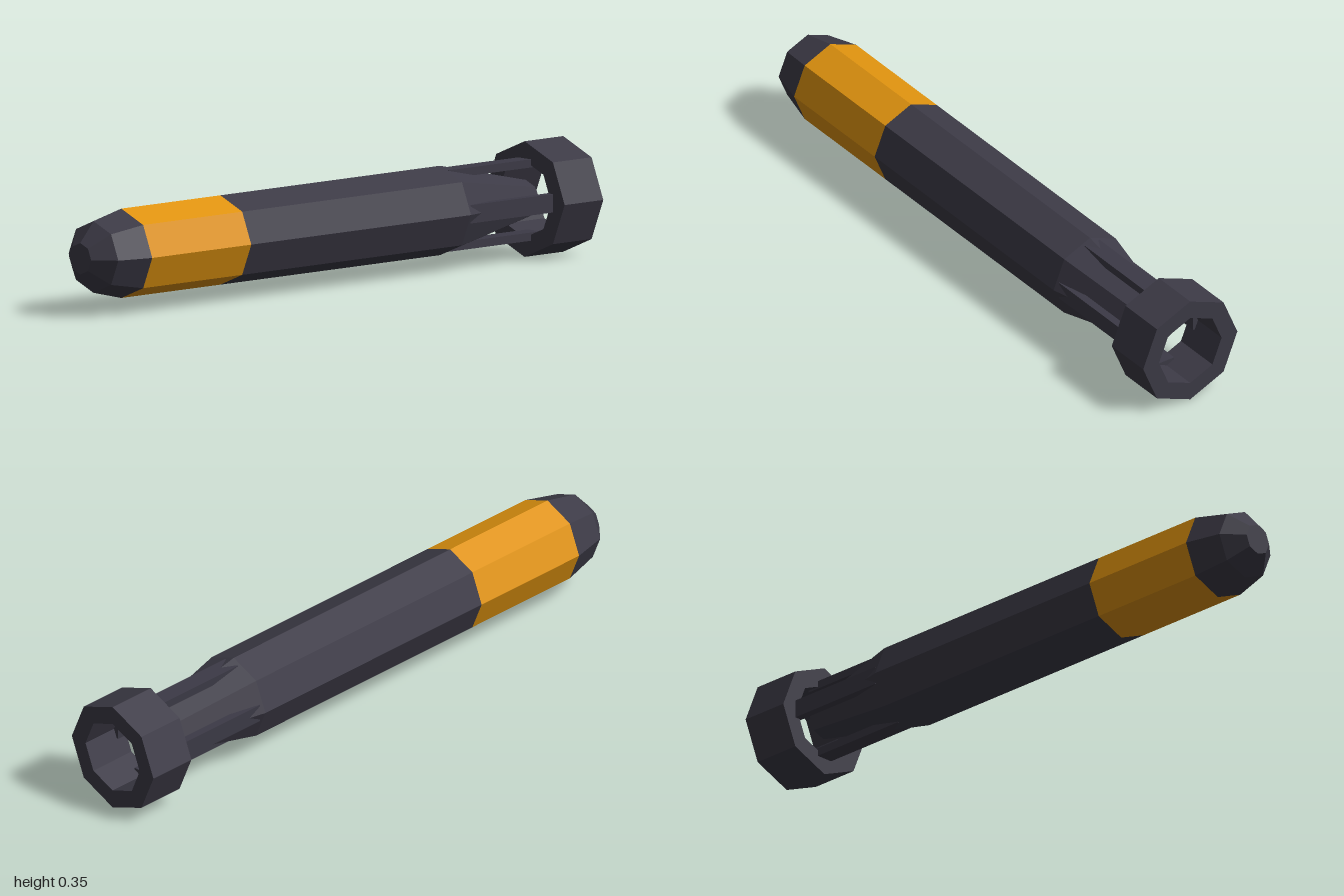
import * as THREE from 'three';

const AXIS_Y = 0.177; // height of the long axis

export function createModel() {
  const dark = new THREE.MeshStandardMaterial({ color: 0x3c3a46, flatShading: true });
  dark.name = 'dark grey';
  const orange = new THREE.MeshStandardMaterial({ color: 0xe0930f, flatShading: true });
  orange.name = 'orange';

  const model = new THREE.Group();
  model.name = 'torpedo';

  // Eight-sided part around the z axis; profile is [radius, z] from back to front
  function turned(name, profile, material) {
    const geo = new THREE.LatheGeometry(profile.map(([r, z]) => new THREE.Vector2(r, z)), 8);
    geo.rotateX(Math.PI / 2);
    const mesh = new THREE.Mesh(geo, material);
    mesh.name = name;
    mesh.position.y = AXIS_Y;
    model.add(mesh);
  }

  // Nose, painted band, body with tapering tail
  turned('nose', [[0.136, 0.83], [0.109, 0.945], [0.048, 1], [0, 1]], dark);
  turned('band', [[0.136, 0.42], [0.136, 0.83]], orange);
  turned('body', [[0, -0.845], [0.058, -0.845], [0.136, -0.49], [0.136, 0.42]], dark);

  // Shroud ring at the tail, open through the middle
  turned('tailRing', [[0.117, -1], [0.176, -1], [0.176, -0.84], [0.117, -0.84], [0.117, -1]], dark);

  // Four struts joining the tail to the ring
  for (let i = 0; i < 4; i++) {
    const geo = new THREE.BoxGeometry(0.056, 0.025, 0.38);
    geo.translate(0, 0.1115, -0.69);
    geo.rotateZ(i * Math.PI / 2);
    const strut = new THREE.Mesh(geo, dark);
    strut.name = 'strut' + (i + 1);
    strut.position.y = AXIS_Y;
    model.add(strut);
  }
  return model;
}
